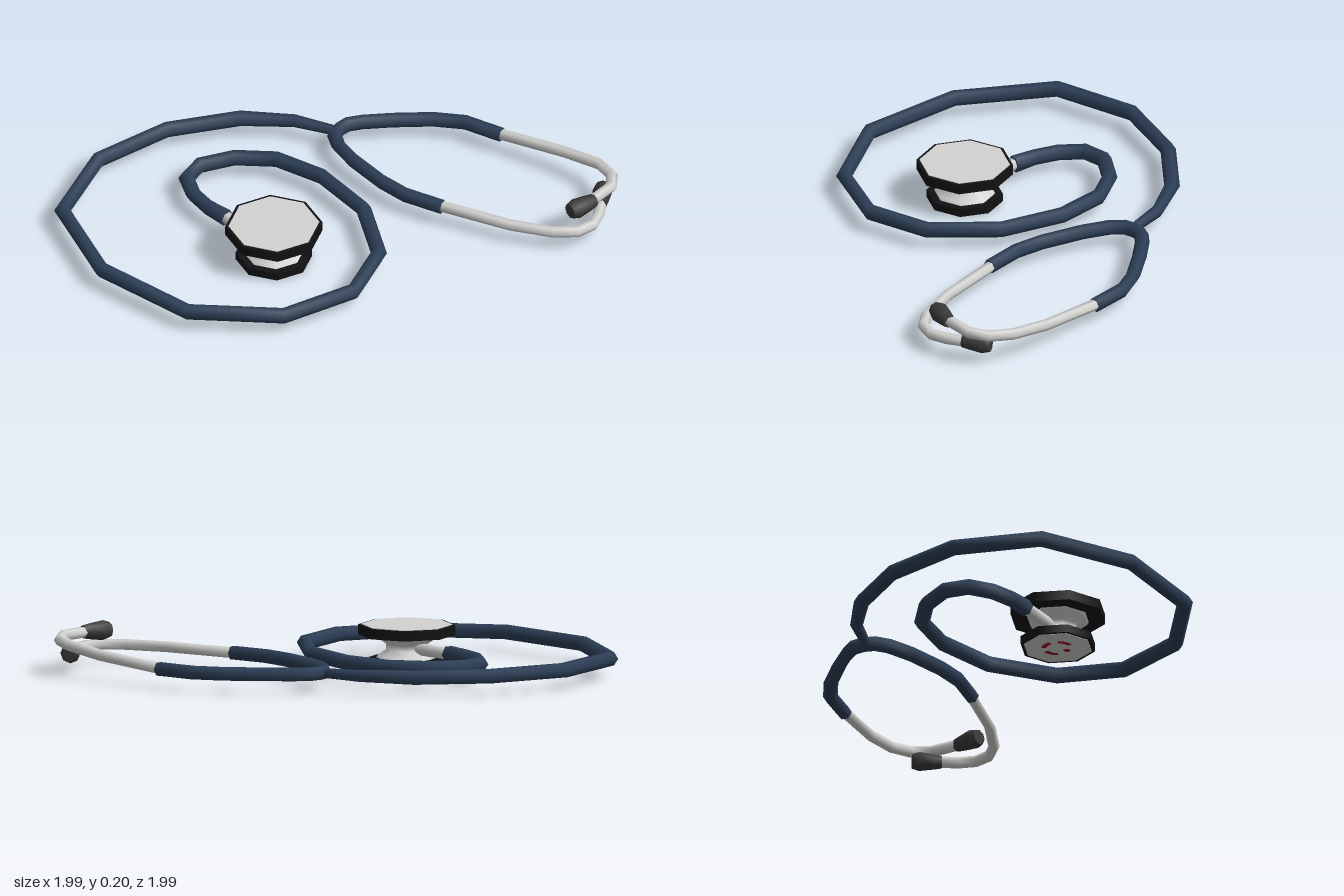
import * as THREE from 'three';

const mat = (name, color) => {
  const m = new THREE.MeshStandardMaterial({ color });
  m.name = name;
  return m;
};

// Six-sided tube with mitred joints along points [x, y, z]; radius may taper per point
function sweep(pts, radius, sides = 6) {
  const P = pts.map(p => new THREE.Vector3(...p));
  const Y = new THREE.Vector3(0, 1, 0);
  const pos = [], idx = [], n = P.length;
  const rings = P.map((p, k) => {
    const a = p.clone().sub(P[Math.max(k - 1, 0)]).normalize();
    const b = P[Math.min(k + 1, n - 1)].clone().sub(p).normalize();
    const t = a.clone().add(b).normalize();
    const mitre = k > 0 && k < n - 1 ? 1 / Math.max(t.dot(b), 0.7) : 1;
    const side = t.clone().cross(Y).normalize();
    const up = side.clone().cross(t);
    const r = typeof radius === 'function' ? radius(k, n) : radius;
    return Array.from({ length: sides }, (_, i) => {
      const w = i / sides * Math.PI * 2;
      return p.clone().addScaledVector(side, Math.cos(w) * r * mitre).addScaledVector(up, Math.sin(w) * r);
    });
  });
  const add = list => {
    const base = pos.length / 3;
    list.forEach(v => pos.push(v.x, v.y, v.z));
    return base;
  };
  rings.forEach(add);
  for (let k = 0; k < n - 1; k++) {
    for (let i = 0; i < sides; i++) {
      const j = (i + 1) % sides, a = k * sides, b = a + sides;
      idx.push(a + i, b + i, a + j, a + j, b + i, b + j);
    }
  }
  // End caps with their own corners so the rim stays sharp
  const start = add(rings[0]), end = add(rings[n - 1]);
  for (let i = 1; i < sides - 1; i++) {
    idx.push(start, start + i, start + i + 1, end, end + i + 1, end + i);
  }
  const g = new THREE.BufferGeometry();
  g.setAttribute('position', new THREE.Float32BufferAttribute(pos, 3));
  g.setIndex(idx);
  g.computeVertexNormals();
  return g;
}

export function createModel() {
  const model = new THREE.Group();
  model.name = 'stethoscope';
  const navy = mat('navy rubber', 0x2c3e56);
  const silver = mat('silver metal', 0xd2d2d0);
  const black = mat('black rim', 0x121214);
  const grey = mat('dark ear rubber', 0x3a3a3a);
  const red = mat('red paint', 0xa01420);

  const add = (name, geo, material, parent = model) => {
    const m = new THREE.Mesh(geo, material);
    m.name = name;
    parent.add(m);
    return m;
  };
  const flat = (list, y) => list.map(([x, z]) => [x, y, z]);
  const H = 0.085;

  // Long coiled tube, narrowing where it meets the fork
  const coil = [[-0.33, -0.27], [-0.325, -0.38], [-0.295, -0.49], [-0.23, -0.585], [-0.12, -0.605],
    [0.02, -0.525], [0.13, -0.38], [0.165, -0.15], [0.105, 0.14], [-0.09, 0.395], [-0.37, 0.49],
    [-0.70, 0.375], [-0.95, 0.04], [-0.965, -0.44], [-0.755, -0.845], [-0.38, -0.965],
    [-0.02, -0.88], [0.25, -0.69], [0.39, -0.50], [0.455, -0.31]];
  add('coiledTube', sweep(flat(coil, H), (k, n) =>
    k === 0 ? 0.038 : k === n - 1 ? 0.022 : k === n - 2 ? 0.028 : 0.034), navy);

  // Forked rubber yoke
  const yoke = [[0.34, 0.39], [0.30, 0.21], [0.305, 0.07], [0.34, -0.12], [0.38, -0.24],
    [0.42, -0.295], [0.47, -0.312], [0.52, -0.308], [0.575, -0.27], [0.67, -0.18],
    [0.79, -0.05], [0.865, 0.07], [0.90, 0.25]];
  add('yokeTube', sweep(flat(yoke, H), 0.032), navy);

  // Metal ear tubes: one lies flat, the other rises over it
  add('flatEarTube', sweep(flat([[0.335, 0.36], [0.435, 0.70], [0.52, 0.875], [0.59, 0.95],
    [0.67, 0.968], [0.74, 0.942], [0.83, 0.878]], H), 0.025), silver);
  add('raisedEarTube', sweep([[0.895, 0.085, 0.22], [0.955, 0.115, 0.56], [0.965, 0.138, 0.75],
    [0.93, 0.148, 0.855], [0.86, 0.154, 0.91], [0.70, 0.157, 0.915]], 0.025), silver);

  // Rubber ear tips
  const tip = (name, from, to) => {
    const a = new THREE.Vector3(...from), b = new THREE.Vector3(...to);
    const pts = [0, 0.25, 0.75, 1].map(t => a.clone().lerp(b, t).toArray());
    add(name, sweep(pts, k => [0.029, 0.035, 0.044, 0.034][k], 8), grey);
  };
  tip('flatEarTip', [0.80, H, 0.90], [0.905, H, 0.825]);
  tip('raisedEarTip', [0.735, 0.157, 0.92], [0.605, 0.157, 0.893]);

  // Two-sided octagonal chest piece
  const chest = new THREE.Group();
  chest.name = 'chestPiece';
  chest.position.x = -0.33;
  model.add(chest);
  const disc = (name, r, y0, y1, material) => {
    add(name, new THREE.CylinderGeometry(r, r, y1 - y0, 8), material, chest).position.y = (y0 + y1) / 2;
  };
  disc('largeRim', 0.212, 0.14, 0.184, black);
  disc('largeDiaphragm', 0.198, 0.181, 0.187, silver);
  disc('smallRim', 0.167, 0.004, 0.04, black);
  disc('smallDiaphragm', 0.152, 0.002, 0.008, silver);
  const profile = [[0.135, 0.038], [0.125, 0.052], [0.09, 0.075], [0.09, 0.1], [0.13, 0.125], [0.14, 0.142]];
  add('chestBody', new THREE.LatheGeometry(profile.map(p => new THREE.Vector2(...p)), 8), silver, chest);
  add('chestStem', sweep([[0, H, -0.06], [0, H, -0.3]], 0.028), silver, chest);

  // Red painted marks on the underside: a broken arc with a dot
  const marks = new THREE.Group();
  marks.name = 'undersideMarks';
  marks.position.y = 0.0005;
  marks.rotation.set(Math.PI / 2, 0, Math.PI / 6);
  chest.add(marks);
  for (const c of [Math.PI, Math.PI * 1.5, Math.PI * 2]) {
    add('arcMark', new THREE.RingGeometry(0.05, 0.072, 8, 1, c - 0.5, 1), red, marks);
  }
  add('dotMark', new THREE.CircleGeometry(0.016, 8), red, marks).position.y = 0.045;
  return model;
}
